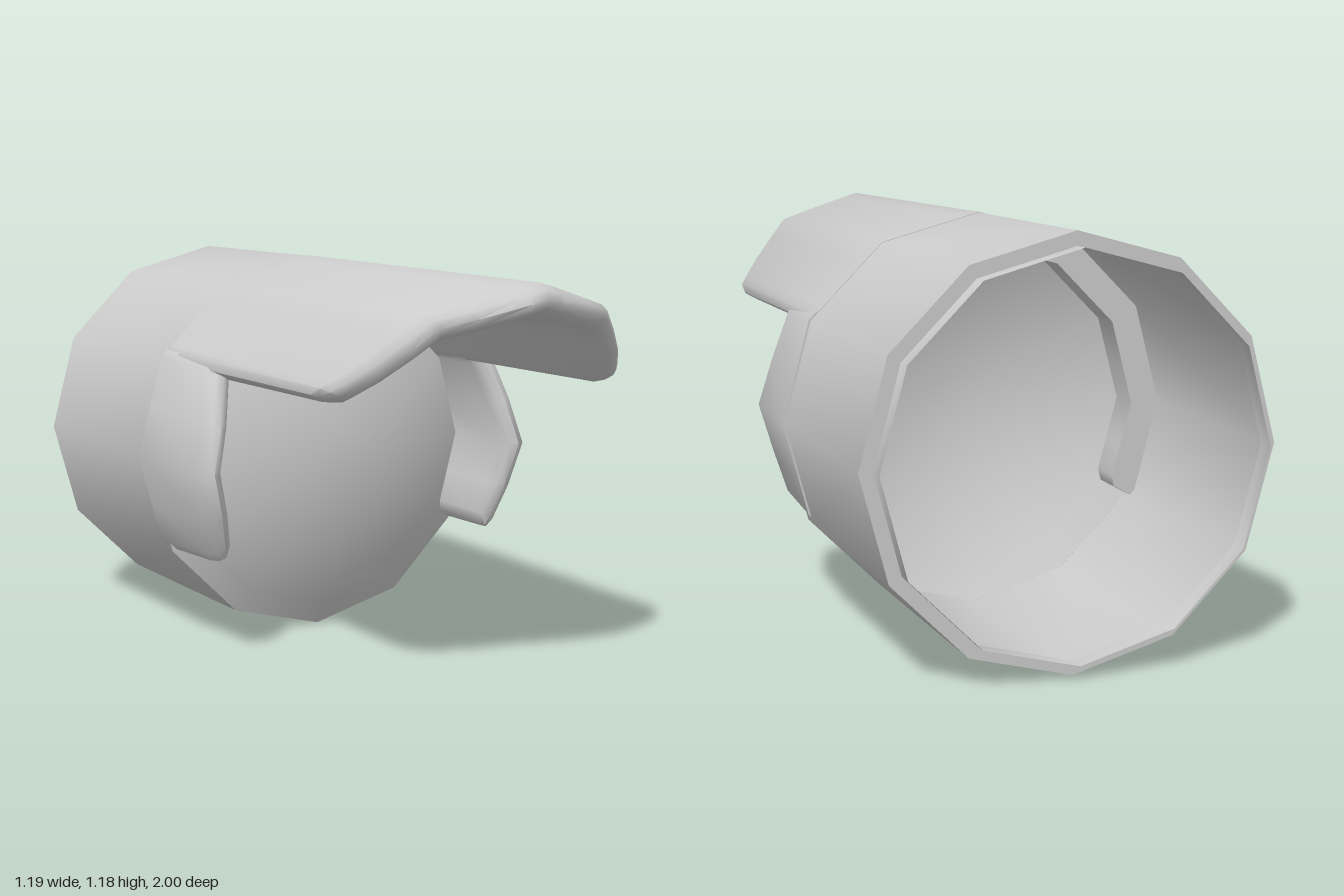
import * as THREE from 'three';
import { toCreasedNormals } from 'three/addons/utils/BufferGeometryUtils.js';

const CY = 0.59; // height of the lamp axis
const SIDES = 12;
const BACK = -0.25; // where the hood starts
const material = new THREE.MeshStandardMaterial({ color: 0xcccccc, side: THREE.DoubleSide });

// Scale that turns a circle into a twelve-sided outline with a corner at the top
function facet(deg) {
  const step = 360 / SIDES;
  const local = ((deg % step) + step) % step - step / 2;
  return Math.cos(Math.PI / SIDES) / Math.cos(THREE.MathUtils.degToRad(local));
}

// Rounded shell section in (radius, z) for a front edge at zf
function section(zf, inner, back, front) {
  const mid = (front + inner) / 2;
  const soft = (front - inner) * 0.2;
  return [
    [back, BACK], [front, zf - 0.045], [front - soft, zf - 0.012], [mid, zf],
    [inner + soft, zf - 0.012], [inner, zf - 0.045], [inner, BACK],
  ];
}

// Sweep sections around the axis; columns are [angle, section]
function shell(columns) {
  const pos = [], idx = [];
  const n = columns[0][1].length;
  for (const [deg, sec] of columns) {
    const a = THREE.MathUtils.degToRad(deg), k = facet(deg);
    for (const [r, z] of sec) pos.push(r * k * Math.sin(a), CY + r * k * Math.cos(a), z);
  }
  for (let i = 0; i < columns.length - 1; i++) {
    for (let j = 0; j < n; j++) {
      const a = i * n + j, b = i * n + (j + 1) % n;
      idx.push(a, b, a + n, b, b + n, a + n);
    }
  }
  const last = (columns.length - 1) * n;
  for (let j = 1; j < n - 1; j++) {
    idx.push(0, j + 1, j);
    idx.push(last, last + j, last + j + 1);
  }
  const g = new THREE.BufferGeometry();
  g.setAttribute('position', new THREE.Float32BufferAttribute(pos, 3));
  g.setIndex(idx);
  return toCreasedNormals(g, 0.95);
}

const mirrored = (columns) => columns.map(([deg, sec]) => [-deg, sec]).reverse();

export function createModel() {
  const group = new THREE.Group();
  const add = (name, geometry) => {
    const mesh = new THREE.Mesh(geometry, material);
    mesh.name = name;
    group.add(mesh);
  };

  // Hollow barrel with a stepped-in rim at the open back
  const barrel = [[0.55, -1], [0.55, -0.95], [0.59, -0.95], [0.59, -0.2]];
  // Shallow domed lens closing the front
  const lens = [];
  for (let i = 0; i <= 8; i++) {
    const r = 0.59 * (1 - i / 8);
    lens.push([r, -0.015 - 0.53 * r * r]);
  }
  for (const [name, profile] of [['barrel', barrel], ['lens', lens]]) {
    const g = new THREE.LatheGeometry(profile.map(([r, z]) => new THREE.Vector2(r, z)), SIDES);
    g.rotateX(Math.PI / 2);
    g.translate(0, CY, 0);
    add(name, toCreasedNormals(g, 0.95));
  }

  // Long visor over the top, its front edge sweeping back to the sides
  const visorEdge = [[0, 1], [5, 0.995], [20, 0.945], [30, 0.9], [38, 0.86], [48, 0.8], [55, 0.74], [58, 0.71]];
  const halfVisor = visorEdge.map(([deg, z]) => [deg, section(z, 0.5, 0.592, 0.581)]);
  halfVisor.push([60, section(0.66, 0.52, 0.575, 0.565)]); // rounded lower edge
  add('visor', shell([...mirrored(halfVisor.slice(1)), ...halfVisor]));

  // Short cheek guard on each side
  const cheekEdge = [[57, 0.065], [60, 0.075], [75, 0.125], [90, 0.15], [105, 0.125], [117, 0.085]];
  const cheek = cheekEdge.map(([deg, z]) => [deg, section(z, 0.5, 0.596, 0.578)]);
  cheek.push([120, section(0.07, 0.515, 0.58, 0.565)]);
  add('leftCheekGuard', shell(cheek));
  add('rightCheekGuard', shell(mirrored(cheek)));

  return group;
}
